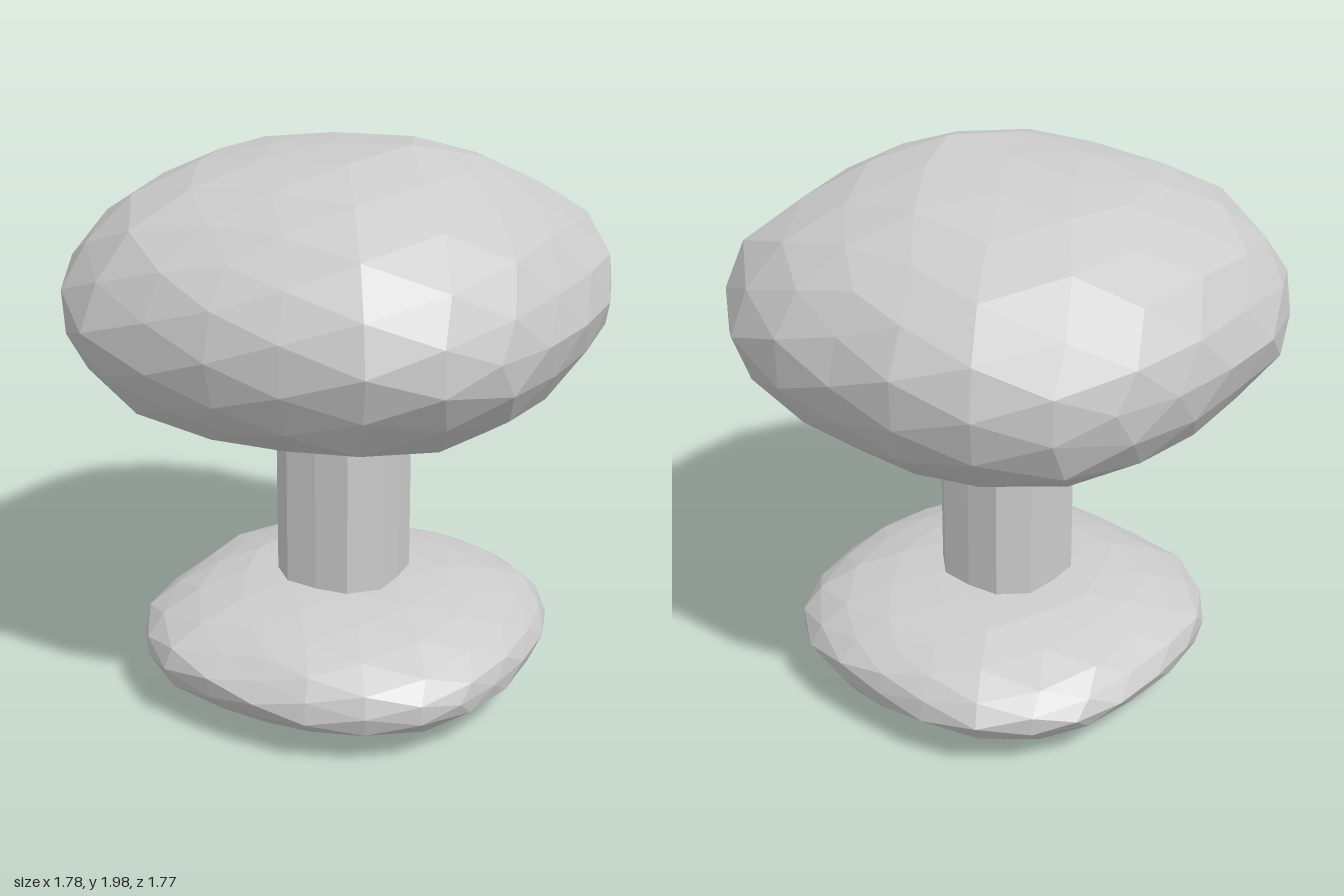
import * as THREE from 'three';

const material = new THREE.MeshStandardMaterial({ color: 0xcccccc, flatShading: true });
const { clamp } = THREE.MathUtils;

// 0 along the x and z axes, 1 on the diagonals: makes round plans squarish
const diagonal = (x, z) => Math.sin(2 * Math.atan2(z, x)) ** 2;

// Faceted, slightly uneven boulder: a squashed icosphere with squarish plan and bevelled corners,
// cut flat below and above, with an optional low bump on top
function boulder(name, { x, y, width, height, low, high, corner, square, bump, seed }) {
  const geometry = new THREE.IcosahedronGeometry(1, 3);
  const pos = geometry.attributes.position;
  const v = new THREE.Vector3();
  for (let i = 0; i < pos.count; i++) {
    v.fromBufferAttribute(pos, i);
    const plan = 1 + square * diagonal(v.x, v.z);
    const uneven = 1 + 0.009 * Math.sin(9 * v.x + seed) * Math.cos(8 * v.z - seed)
      + 0.009 * Math.sin(11 * v.y + 7 * v.x + 5 * v.z + seed);
    let px = v.x * width * plan * uneven;
    let pz = v.z * width * plan * uneven;
    const bevel = Math.min(1, corner * Math.SQRT2 / (Math.abs(px) + Math.abs(pz) + 1e-6));
    px *= bevel;
    pz *= bevel;
    let py = clamp(y + v.y * height * uneven, low, high);
    if (v.y > 0) py += bump * Math.exp(-((px - 0.18) ** 2 + pz ** 2) / 0.06);
    pos.setXYZ(i, x + px, py, pz);
  }
  geometry.computeVertexNormals();
  const mesh = new THREE.Mesh(geometry, material);
  mesh.name = name;
  return mesh;
}

// Twelve-sided, slightly squarish stem section
function stemPart(name, rTop, rBottom, y0, y1) {
  const geometry = new THREE.CylinderGeometry(rTop, rBottom, y1 - y0, 12);
  const pos = geometry.attributes.position;
  for (let i = 0; i < pos.count; i++) {
    const px = pos.getX(i), pz = pos.getZ(i);
    const plan = 1 + 0.13 * diagonal(px, pz);
    pos.setXYZ(i, px * plan, pos.getY(i), pz * plan);
  }
  geometry.computeVertexNormals();
  const mesh = new THREE.Mesh(geometry, material);
  mesh.position.set(0.015, (y0 + y1) / 2, 0);
  mesh.name = name;
  return mesh;
}

export function createModel() {
  const group = new THREE.Group();
  group.name = 'mushroom';
  group.add(
    boulder('cap', {
      x: 0, y: 1.47, width: 0.885, height: 0.515, low: 1.09, high: 1.95,
      corner: 0.95, square: 0.09, bump: 0.05, seed: 1.3,
    }),
    stemPart('stemFlare', 0.31, 0.217, 0.97, 1.12),
    stemPart('stem', 0.217, 0.217, 0.36, 0.97),
    boulder('base', {
      x: 0.03, y: 0.215, width: 0.695, height: 0.235, low: 0.01, high: 0.43,
      corner: 0.74, square: 0.08, bump: 0, seed: 3.1,
    }),
  );
  return group;
}
